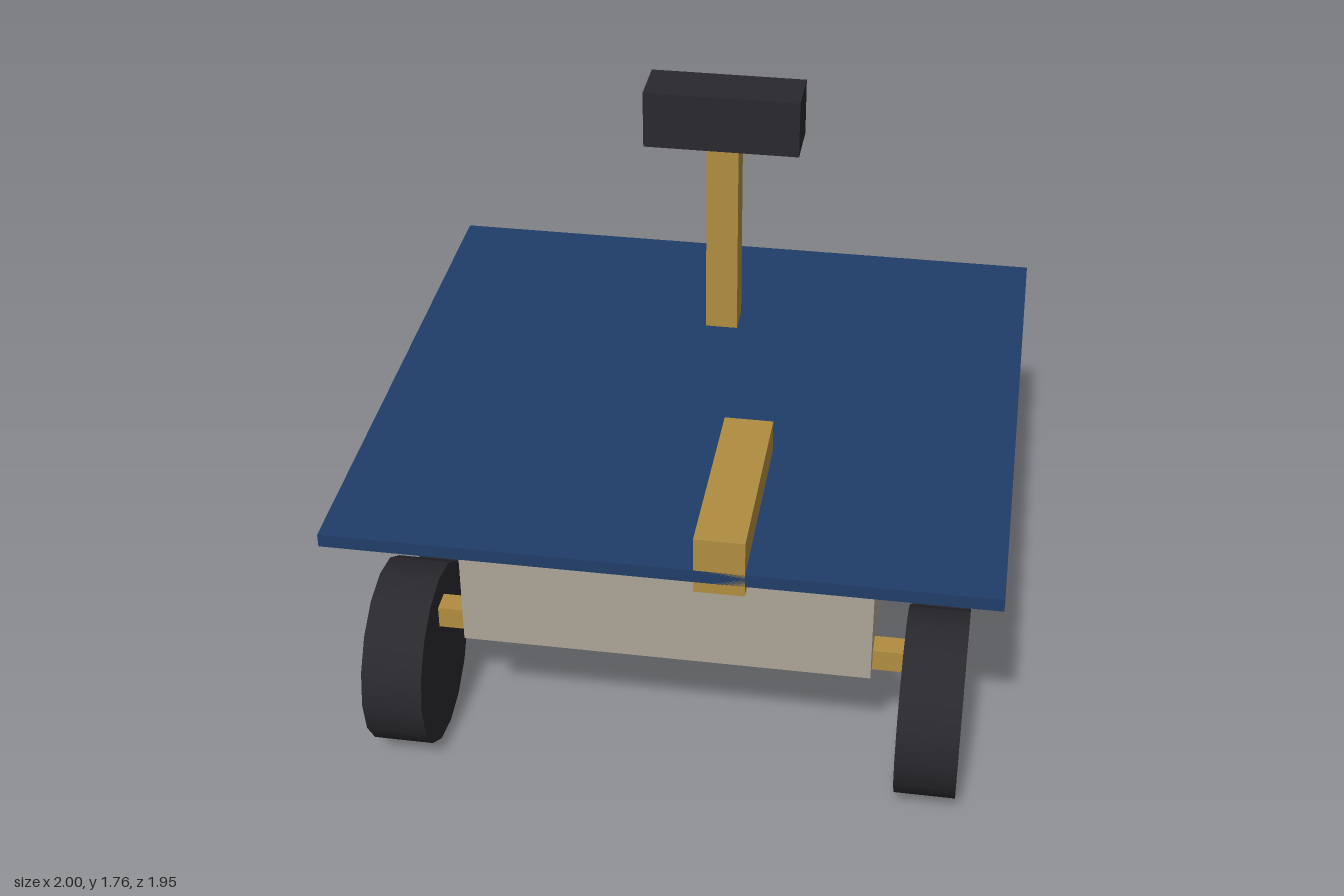
import * as THREE from 'three';

const material = (color) => new THREE.MeshStandardMaterial({ color });

export function createModel() {
  const model = new THREE.Group();
  model.name = 'rover';
  const grey = material(0xaca496);
  const blue = material(0x203d68);
  const gold = material(0xb08d40);
  const dark = material(0x29282d);

  const add = (name, geometry, mat, x, y, z) => {
    const mesh = new THREE.Mesh(geometry, mat);
    mesh.name = name;
    mesh.position.set(x, y, z);
    model.add(mesh);
    return mesh;
  };
  const box = (name, mat, [w, h, d], [x, y, z]) =>
    add(name, new THREE.BoxGeometry(w, h, d), mat, x, y, z);

  // Body and the flat solar deck floating just above it
  box('body', grey, [1.25, 0.345, 1.564], [0, 0.603, 0]);
  box('solarDeck', blue, [2, 0.042, 1.875], [0, 0.879, 0]);

  // Camera mast and head
  box('mast', gold, [0.104, 0.8, 0.104], [0, 1.173, -0.438]);
  box('cameraHead', dark, [0.5, 0.188, 0.174], [0, 1.667, -0.438]);

  // Folded arm resting through the front edge of the deck
  box('arm', gold, [0.15, 0.188, 0.625], [0.187, 0.917, 0.625]);

  // Three wheels on each side, each with a strut running under the body
  const wheelGeometry = new THREE.CylinderGeometry(0.288, 0.288, 0.187, 16);
  wheelGeometry.rotateZ(Math.PI / 2);
  for (const side of [-1, 1]) {
    for (const z of [-0.688, 0, 0.688]) {
      add('wheel', wheelGeometry, dark, side * 0.813, 0.288, z);
      box('strut', gold, [0.44, 0.072, 0.072], [side * 0.502, 0.454, z]);
    }
  }
  return model;
}
